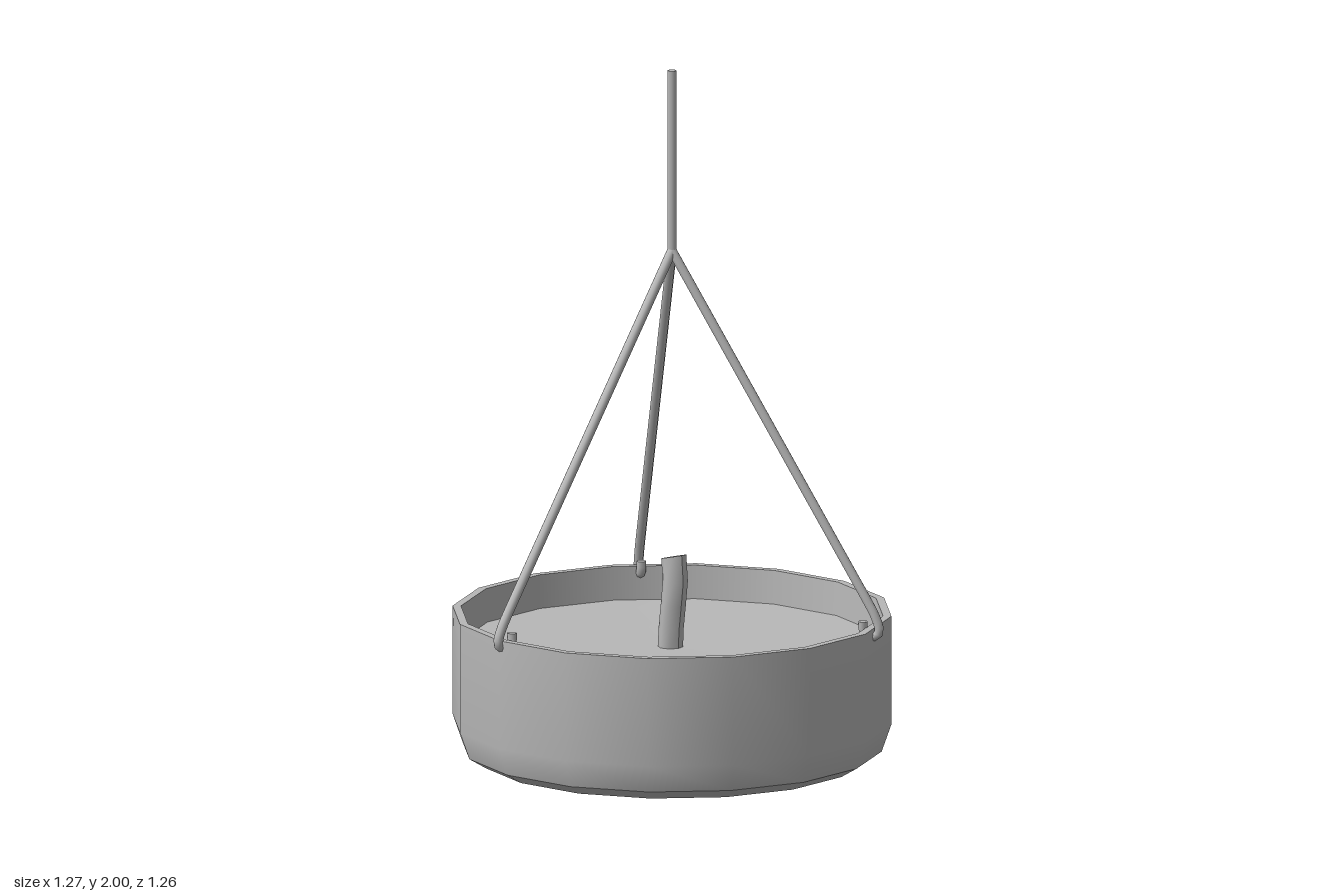
import * as THREE from 'three';

export function createModel() {
  const model = new THREE.Group();
  const grey = new THREE.MeshStandardMaterial({ color: 0xb8b8b8 });
  grey.name = 'plain grey';

  const add = (name, geometry, parent = model) => {
    const mesh = new THREE.Mesh(geometry, grey);
    mesh.name = name;
    parent.add(mesh);
    return mesh;
  };
  const lathe = (points) =>
    new THREE.LatheGeometry(points.map(([r, y]) => new THREE.Vector2(r, y)), 16);

  // Sixteen-sided bowl; separate bands keep the edges sharp
  const bowl = new THREE.Group();
  bowl.name = 'bowl';
  model.add(bowl);
  add('bowlBase', lathe([[0, 0], [0.55, 0]]), bowl);
  add('bowlBevel', lathe([[0.55, 0], [0.6, 0.03]]), bowl);
  add('bowlWall', lathe([[0.6, 0.03], [0.628, 0.11], [0.628, 0.425]]), bowl);
  add('bowlRim', lathe([[0.628, 0.425], [0.604, 0.425]]), bowl);
  add('bowlInside', lathe([[0.604, 0.425], [0.598, 0.3]]), bowl);

  // Candle wax filling, dipping very slightly to the middle
  add('wax', lathe([[0.6, 0.328], [0.3, 0.325], [0, 0.32]]));

  // Crooked wick, built from bent rings with a slanted tip
  const wickGeometry = new THREE.CylinderGeometry(0.036, 0.036, 0.28, 8, 4);
  const bend = [-0.008, -0.004, 0.006, 0.015, 0.008];
  const p = wickGeometry.attributes.position;
  for (let i = 0; i < p.count; i++) {
    const ring = Math.round((p.getY(i) + 0.14) / 0.07);
    if (ring === 4) p.setY(i, p.getY(i) + p.getZ(i) * 0.25);
    p.setZ(i, p.getZ(i) + bend[ring]);
  }
  wickGeometry.computeVertexNormals();
  add('wick', wickGeometry).position.y = 0.445;

  // Vertical hanging rod
  const rod = new THREE.CylinderGeometry(0.013, 0.013, 0.54, 8);
  add('hangingRod', rod).position.y = 1.73;

  // Three arms, each with a hook passing through the wall
  const path = new THREE.CurvePath();
  const v = (r, y) => new THREE.Vector3(r, y, 0);
  path.add(new THREE.LineCurve3(v(0, 1.475), v(0.595, 0.505)));
  path.add(new THREE.CatmullRomCurve3([
    v(0.595, 0.505), v(0.62, 0.46), v(0.633, 0.42), v(0.625, 0.404),
    v(0.608, 0.4), v(0.59, 0.405), v(0.583, 0.42), v(0.583, 0.442),
  ]));
  const armGeometry = new THREE.TubeGeometry(path, 80, 0.014, 8, false);
  const capGeometry = new THREE.CircleGeometry(0.014, 8);
  for (let i = 0; i < 3; i++) {
    const arm = new THREE.Group();
    arm.name = 'arm' + (i + 1);
    arm.rotation.y = Math.PI / 3 + (i * Math.PI * 2) / 3;
    add('armRod', armGeometry, arm);
    const cap = add('hookEnd', capGeometry, arm);
    cap.position.set(0.583, 0.442, 0);
    cap.rotation.x = -Math.PI / 2;
    model.add(arm);
  }

  for (const part of model.children) part.position.x += 0.006;
  return model;
}
